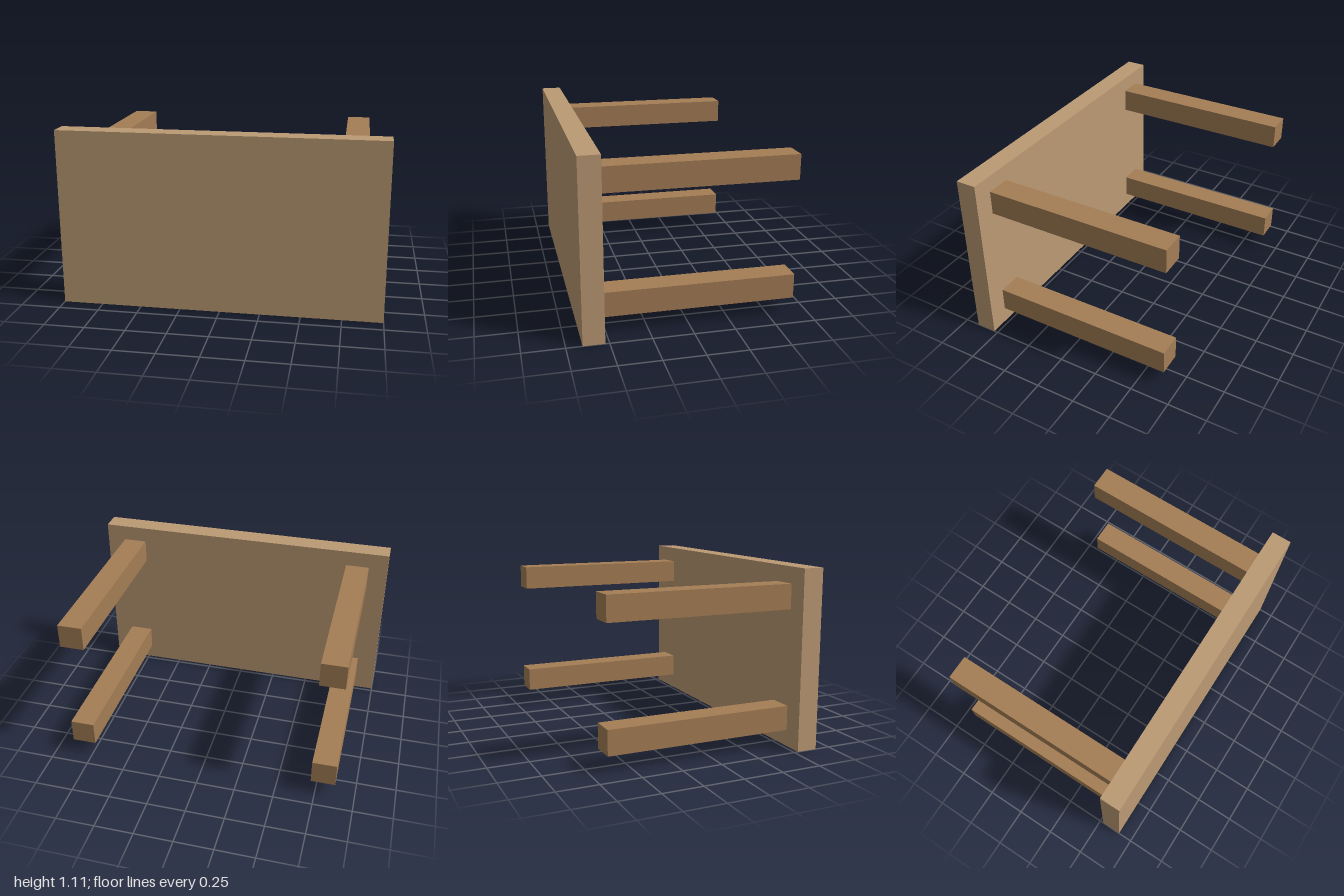
import * as THREE from 'three';

const WIDTH = 2, HEIGHT = 1.11, DEPTH = 1.31;
const TOP_THICKNESS = 0.13;
const LEG_SIZE = 0.154, LEG_X = 0.797, LEG_Y = 0.376;

function box(name, size, position, material) {
  const mesh = new THREE.Mesh(new THREE.BoxGeometry(...size), material);
  mesh.name = name;
  mesh.position.set(...position);
  return mesh;
}

export function createModel() {
  const table = new THREE.Group();
  table.name = 'table';
  const topWood = new THREE.MeshStandardMaterial({ color: 0xbc9a74 });
  const legWood = new THREE.MeshStandardMaterial({ color: 0xa47d55 });

  // Table top, tipped on its long edge and facing the front
  table.add(box('tableTop', [WIDTH, HEIGHT, TOP_THICKNESS],
    [0, HEIGHT / 2, (DEPTH - TOP_THICKNESS) / 2], topWood));

  // Four square legs reaching backwards from the underside
  const legLength = DEPTH - TOP_THICKNESS;
  for (const [vertical, sy] of [['lower', -1], ['upper', 1]]) {
    for (const [side, sx] of [['Left', 1], ['Right', -1]]) {
      table.add(box(`${vertical}${side}Leg`, [LEG_SIZE, LEG_SIZE, legLength],
        [sx * LEG_X, HEIGHT / 2 + sy * LEG_Y, -TOP_THICKNESS / 2], legWood));
    }
  }
  return table;
}
